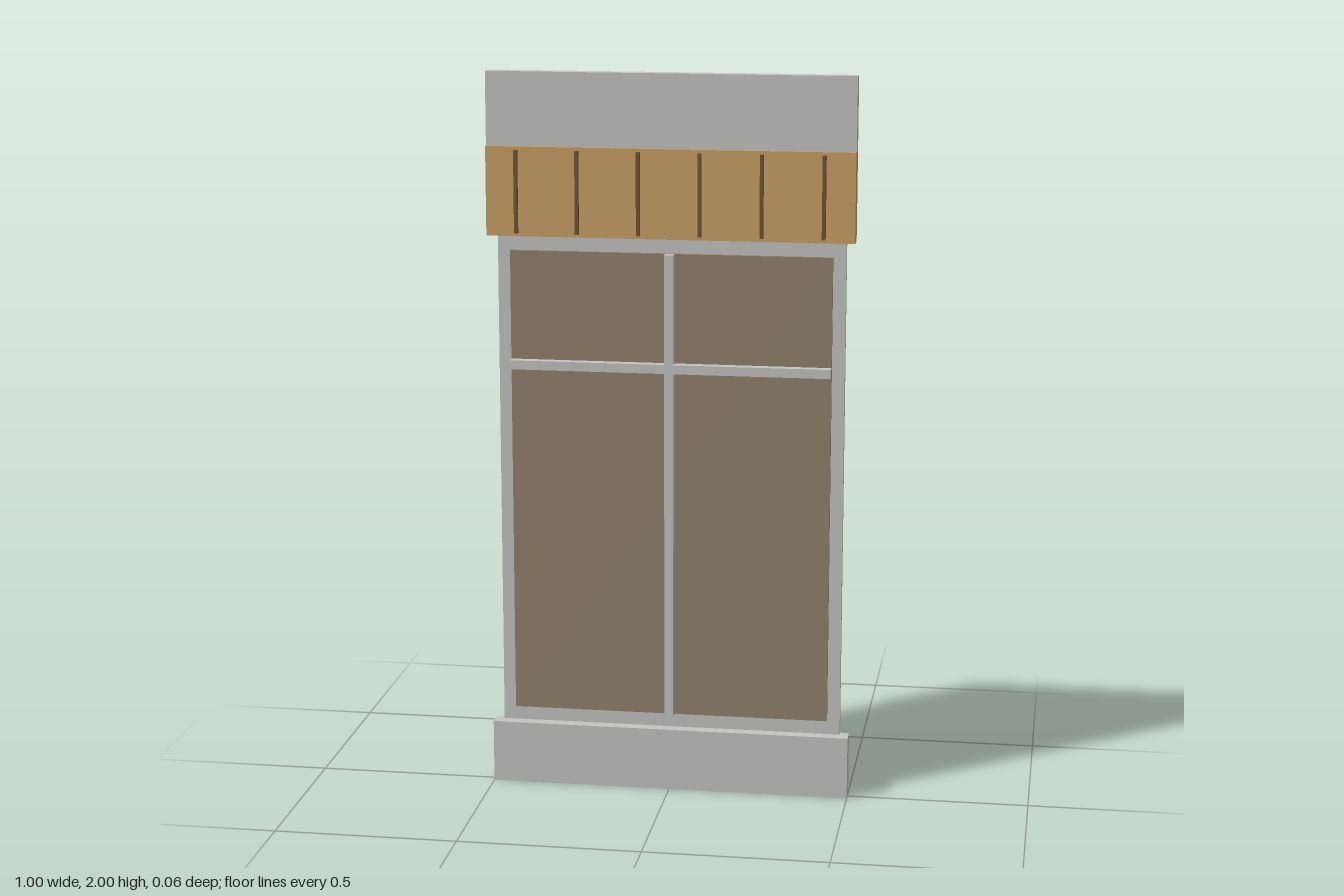
import * as THREE from 'three';

const material = (name, color) => {
  const m = new THREE.MeshStandardMaterial({ color });
  m.name = name;
  return m;
};

export function createModel() {
  const group = new THREE.Group();
  group.name = 'windowPanel';

  const grey = material('pale grey', 0xc5c5c2);
  const ochre = material('ochre', 0xc9a165);
  const glass = material('brown glass', 0x92826c);
  const brown = material('dark brown', 0x6e5433);

  // Box given by its limits on each axis
  const box = (name, mat, [x0, x1], [y0, y1], [z0, z1]) => {
    const mesh = new THREE.Mesh(new THREE.BoxGeometry(x1 - x0, y1 - y0, z1 - z0), mat);
    mesh.position.set((x0 + x1) / 2, (y0 + y1) / 2, (z0 + z1) / 2);
    mesh.name = name;
    group.add(mesh);
  };

  const back = -0.029;

  // Wall pieces, bottom to top
  box('basePlinth', grey, [-0.5, 0.5], [0, 0.175], [back, 0.02]);
  box('windowFrame', grey, [-0.475, 0.475], [0.175, 1.557], [back, -0.012]);
  box('signBand', ochre, [-0.5, 0.5], [1.557, 1.8], [back, 0.019]);
  box('topSlab', grey, [-0.5, 0.5], [1.8, 2], [back, 0.008]);

  // Glass with crossing bars
  box('windowPane', glass, [-0.44, 0.44], [0.215, 1.515], [-0.012, -0.003]);
  box('verticalBar', grey, [-0.0125, 0.0125], [0.215, 1.515], [-0.003, 0.022]);
  box('horizontalBar', grey, [-0.44, 0.44], [1.19, 1.215], [-0.003, 0.023]);

  // Evenly spaced slats across the band
  for (let i = 0; i < 6; i++) {
    const x = (i - 2.5) / 6;
    box('bandSlat', brown, [x - 0.005, x + 0.005], [1.566, 1.791], [0.019, 0.028]);
  }

  return group;
}
